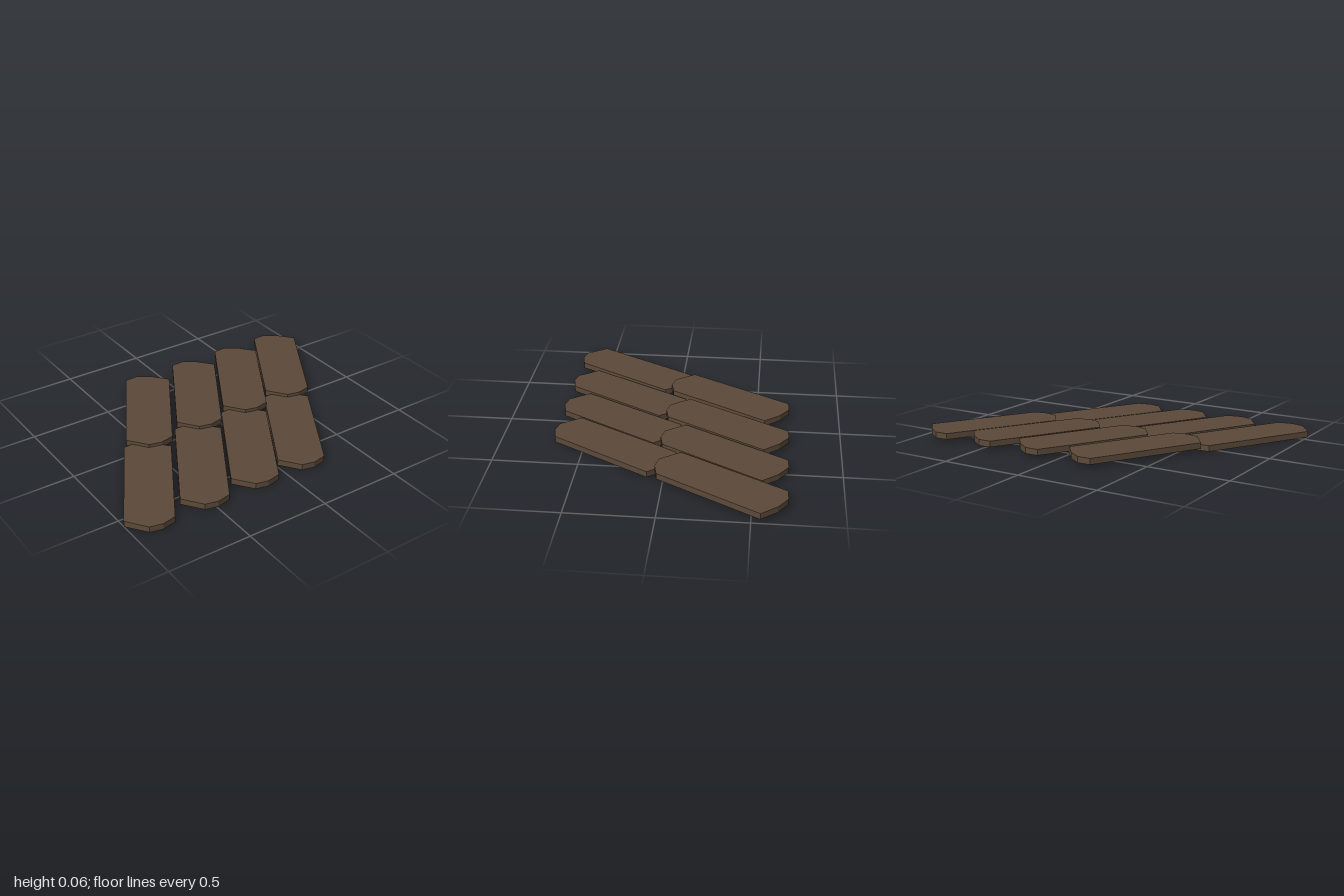
import * as THREE from 'three';

export function createModel() {
  const model = new THREE.Group();
  model.name = 'woodenShingles';

  const wood = new THREE.MeshStandardMaterial({ color: 0x5c4a3a });
  wood.name = 'brown wood';

  // Plan outline (x, z) of the slanted shingle in the front left corner
  const outline = [
    [-1, 0.56], [-0.915, 0.677], [-0.84, 0.695], [-0.755, 0.677],
    [-0.41, 0.093], [-0.485, 0.002], [-0.565, -0.053], [-0.645, -0.05],
  ];
  const shape = new THREE.Shape(outline.map(([x, z]) => new THREE.Vector2(x, -z)));
  const shingle = new THREE.ExtrudeGeometry(shape, { depth: 0.036, bevelEnabled: false });
  shingle.rotateX(-Math.PI / 2);

  // Two overlapping rows, the back one resting higher
  const rows = [
    { name: 'frontShingle', x: 0, y: 0, z: 0 },
    { name: 'backShingle', x: 0.39, y: 0.02, z: -0.642 },
  ];
  const columns = [0, 0.35, 0.686, 1.012];
  for (const row of rows) {
    columns.forEach((offset, i) => {
      const mesh = new THREE.Mesh(shingle, wood);
      mesh.name = row.name + (i + 1);
      mesh.position.set(row.x + offset, row.y, row.z);
      model.add(mesh);
    });
  }
  return model;
}
